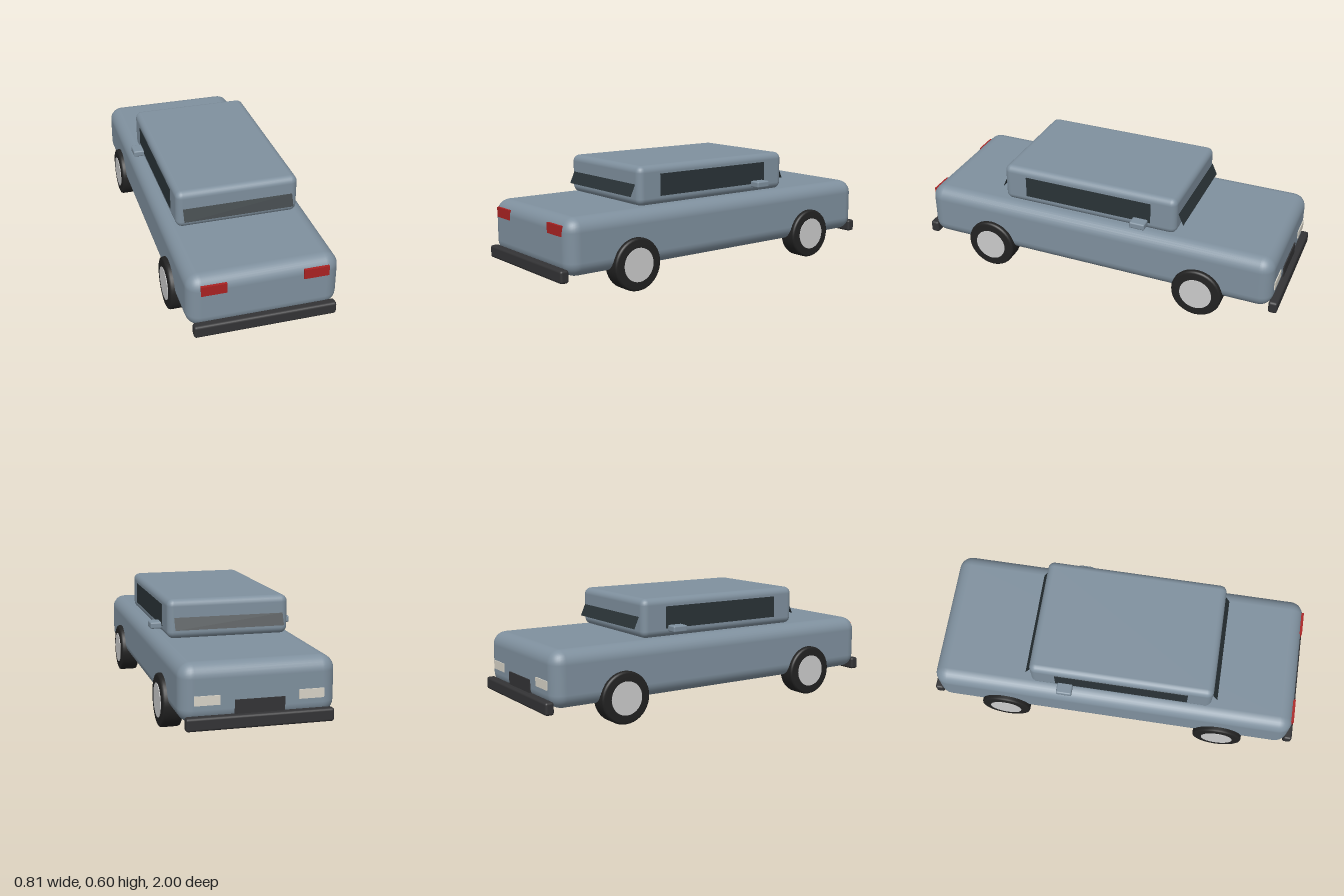
import * as THREE from 'three';
import { RoundedBoxGeometry } from 'three/addons/geometries/RoundedBoxGeometry.js';

const paint = new THREE.MeshStandardMaterial({ color: 0x7f909e });
const glass = new THREE.MeshStandardMaterial({ color: 0x2a3337, side: THREE.DoubleSide });
const rubber = new THREE.MeshStandardMaterial({ color: 0x222222 });
const trim = new THREE.MeshStandardMaterial({ color: 0x333335 });
const metal = new THREE.MeshStandardMaterial({ color: 0xcccccc });
const lamp = new THREE.MeshStandardMaterial({ color: 0xd8d4c8 });
const red = new THREE.MeshStandardMaterial({ color: 0xaa2222 });

export function createModel() {
  const car = new THREE.Group();
  car.name = 'car';

  const add = (name, geometry, material, x, y, z, parent = car) => {
    const mesh = new THREE.Mesh(geometry, material);
    mesh.name = name;
    mesh.position.set(x, y, z);
    parent.add(mesh);
    return mesh;
  };
  const rounded = (w, h, d, r, segments = 3) => new RoundedBoxGeometry(w, h, d, segments, r);

  // Lower body and cabin
  add('body', rounded(0.754, 0.285, 1.934, 0.07, 4), paint, 0, 0.2575, 0);
  add('cabin', rounded(0.63, 0.2, 0.965, 0.035), paint, 0, 0.5, 0.042);

  // Windscreen and rear window lean outwards at the bottom
  const pane = new THREE.PlaneGeometry(0.566, 0.066);
  add('rearWindow', pane, glass, 0, 0.48, 0.539).rotation.x = -0.42;
  add('windscreen', pane, glass, 0, 0.48, -0.458).rotation.set(0.42, Math.PI, 0, 'XYZ');

  // Bumpers
  const bumper = rounded(0.71, 0.064, 0.046, 0.012, 2);
  add('rearBumper', bumper, trim, 0, 0.127, 0.977);
  add('frontBumper', bumper, trim, 0, 0.127, -0.977);

  // Grille
  add('grille', new THREE.BoxGeometry(0.24, 0.07, 0.02), trim, 0, 0.19, -0.963);

  // Tyre profile with softened shoulders, turned about the axle
  const tyreProfile = [
    [0.08, -0.05], [0.122, -0.05], [0.13, -0.046], [0.133, -0.038],
    [0.133, 0.038], [0.13, 0.046], [0.122, 0.05], [0.08, 0.05],
  ].map(([r, y]) => new THREE.Vector2(r, y));
  const tyre = new THREE.LatheGeometry(tyreProfile, 40).rotateZ(-Math.PI / 2);
  const hub = new THREE.CylinderGeometry(0.085, 0.085, 0.106, 36).rotateZ(Math.PI / 2);

  for (const s of [1, -1]) {
    const side = s > 0 ? 'left' : 'right';

    add(side + 'SideWindow', new THREE.BoxGeometry(0.008, 0.112, 0.7), glass, s * 0.3135, 0.5, 0.045);
    add(side + 'Mirror', rounded(0.062, 0.034, 0.082, 0.008, 2), paint, s * 0.342, 0.444, -0.252);
    add(side + 'TailLight', new THREE.BoxGeometry(0.126, 0.051, 0.025), red, s * 0.252, 0.337, 0.96);
    add(side + 'Headlight', new THREE.BoxGeometry(0.122, 0.045, 0.02), lamp, s * 0.25, 0.23, -0.962);

    for (const [end, z] of [['Front', -0.588], ['Rear', 0.59]]) {
      const wheel = new THREE.Group();
      wheel.name = side + end + 'Wheel';
      wheel.position.set(s * 0.352, 0.137, z);
      add('tyre', tyre, rubber, 0, 0, 0, wheel);
      add('hub', hub, metal, 0, 0, 0, wheel);
      car.add(wheel);
    }
  }

  // Rest the tyres on the ground
  car.position.y = -0.004;
  const model = new THREE.Group();
  model.name = 'model';
  model.add(car);
  return model;
}
